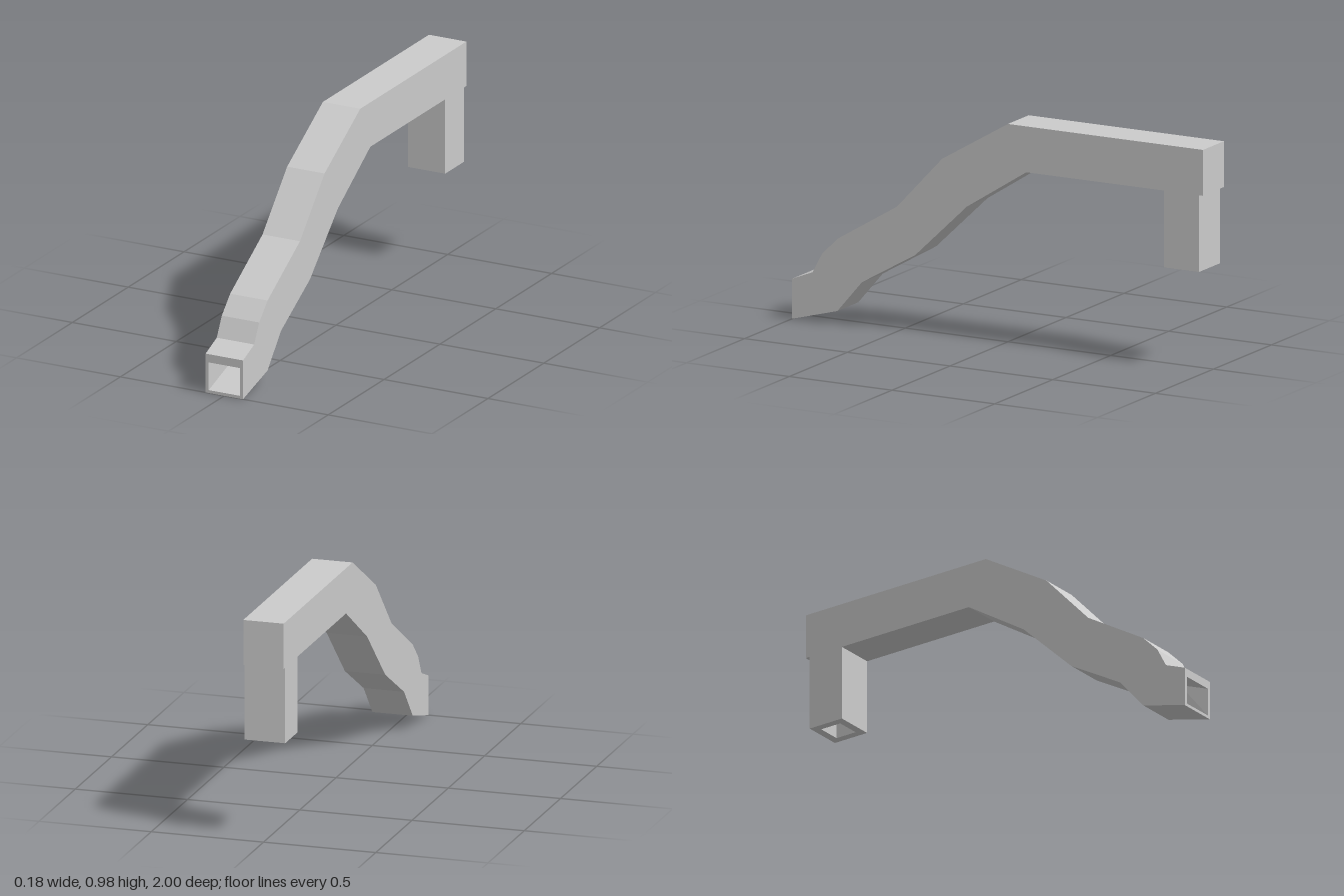
import * as THREE from 'three';

const HALF = 0.09; // half width of the duct

// Side outline as [z, y]: top edge from the mouth to the outlet, then back along the underside
const upper = [[1, 0.175], [0.9, 0.215], [0.855, 0.3], [0.78, 0.375], [0.49, 0.55], [0.27, 0.785],
  [-0.05, 0.975], [-1, 0.975], [-1, 0.775], [-0.98, 0.775], [-0.98, 0.44]];
const lower = [[-0.81, 0.44], [-0.81, 0.775], [-0.14, 0.775], [0.15, 0.59], [0.4, 0.35],
  [0.66, 0.2], [0.78, 0.06], [1, 0]];

// Inner passage sections: [half width, lower point, upper point]
const passage = [
  [HALF, [1, 0], [1, 0.175]],
  [0.075, [1, 0.013], [1, 0.138]],
  [0.063, [0.79, 0.097], [0.86, 0.19]],
  [0.06, [0.68, 0.235], [0.74, 0.31]],
  [0.055, [0.42, 0.39], [0.47, 0.51]],
  [0.055, [0.17, 0.63], [0.25, 0.74]],
  [0.055, [-0.13, 0.815], [-0.06, 0.935]],
  [0.055, [-0.845, 0.815], [-0.945, 0.935]],
  [0.055, [-0.845, 0.44], [-0.945, 0.44]],
  [HALF, [-0.81, 0.44], [-0.98, 0.44]],
];

const material = new THREE.MeshStandardMaterial({ color: 0xcccccc, flatShading: true, side: THREE.DoubleSide });

function part(name, geometry) {
  const mesh = new THREE.Mesh(geometry, material);
  mesh.name = name;
  return mesh;
}

function fromQuads(quads) {
  const positions = quads.flatMap(([a, b, c, d]) => [a, b, c, a, c, d].flat());
  const geometry = new THREE.BufferGeometry();
  geometry.setAttribute('position', new THREE.Float32BufferAttribute(positions, 3));
  geometry.computeVertexNormals();
  return geometry;
}

// Strip of faces across the width, following a [z, y] path
function strip(path) {
  return fromQuads(path.slice(1).map(([z1, y1], i) => {
    const [z0, y0] = path[i];
    return [[HALF, y0, z0], [HALF, y1, z1], [-HALF, y1, z1], [-HALF, y0, z0]];
  }));
}

// Rectangular passage lofted through its sections, including both rims
function loft(sections) {
  const loops = sections.map(([h, [zb, yb], [zt, yt]]) =>
    [[h, yb, zb], [h, yt, zt], [-h, yt, zt], [-h, yb, zb]]);
  const quads = [];
  for (let s = 0; s < loops.length - 1; s++) {
    for (let i = 0; i < 4; i++) {
      const j = (i + 1) % 4;
      quads.push([loops[s][i], loops[s][j], loops[s + 1][j], loops[s + 1][i]]);
    }
  }
  return fromQuads(quads);
}

// Flat side wall; sign +1 is the left side, -1 the right side
function wall(sign) {
  const outline = [...upper, ...lower].map(([z, y]) => new THREE.Vector2(-sign * z, y));
  return new THREE.ShapeGeometry(new THREE.Shape(outline))
    .rotateY(sign * Math.PI / 2)
    .translate(sign * HALF, 0, 0);
}

export function createModel() {
  const duct = new THREE.Group();
  duct.name = 'duct';
  duct.add(
    part('topAndBackWall', strip(upper)),
    part('underside', strip(lower)),
    part('leftWall', wall(1)),
    part('rightWall', wall(-1)),
    part('innerPassage', loft(passage)),
  );
  return duct;
}
